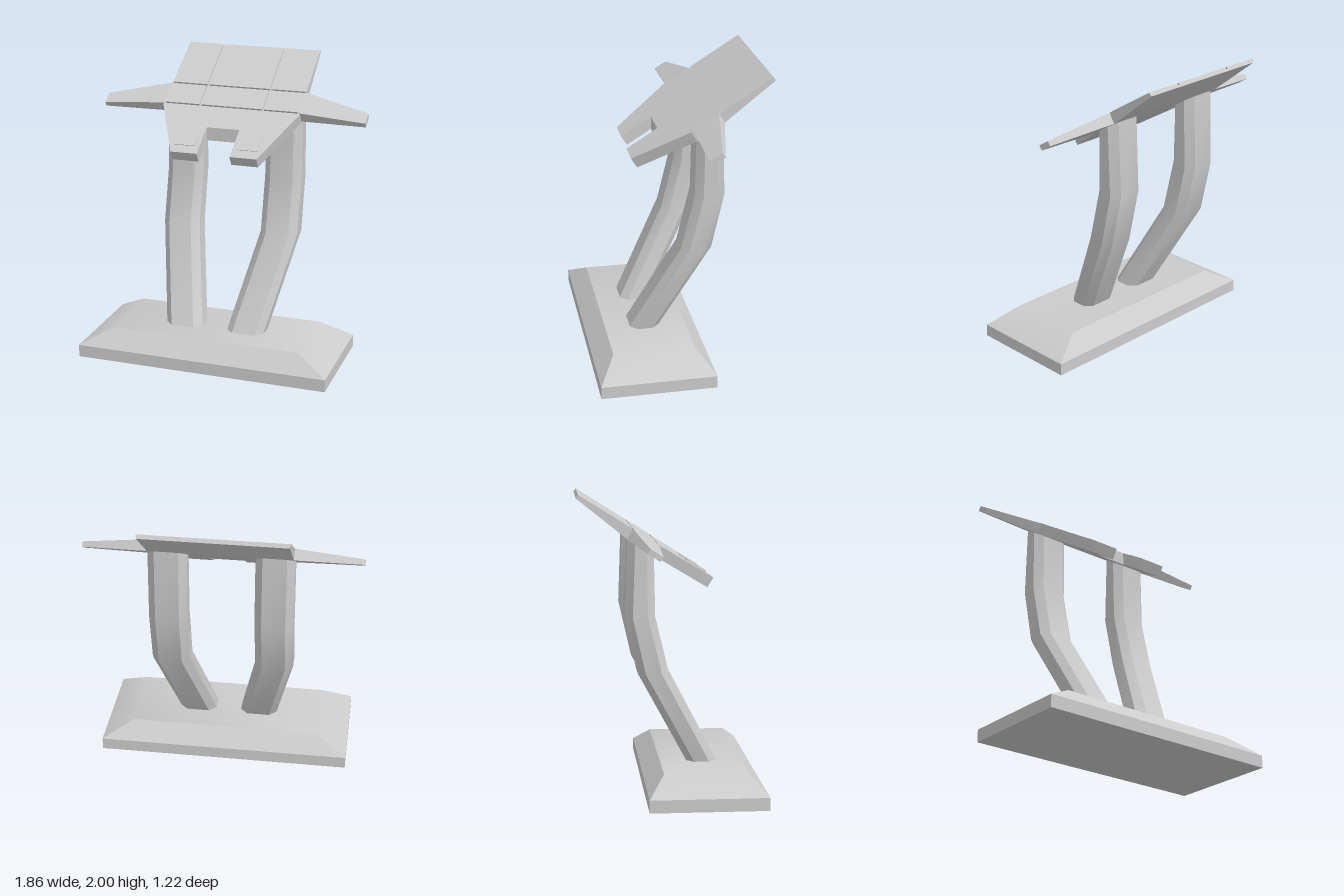
import * as THREE from 'three';
import { toCreasedNormals } from 'three/addons/utils/BufferGeometryUtils.js';
import { ConvexGeometry } from 'three/addons/geometries/ConvexGeometry.js';

const material = new THREE.MeshStandardMaterial({ color: 0xcccccc });

function add(parent, name, geometry, crease = 0.3) {
  const mesh = new THREE.Mesh(toCreasedNormals(geometry, crease), material);
  mesh.name = name;
  parent.add(mesh);
  return mesh;
}

const hull = (points) => new ConvexGeometry(points.map((p) => new THREE.Vector3(...p)));

// Rectangle in the xz plane at height y
const rect = (x, y, zBack, zFront) => [[-x, y, zBack], [x, y, zBack], [x, y, zFront], [-x, y, zFront]];

// Slab between x0..x1 and s0..s1 on the console plane, with a depth at each end
function slab(x0, x1, s0, s1, top, bottom0, bottom1) {
  const points = [];
  for (const x of [x0, x1]) {
    points.push([x, s0, top], [x, s1, top], [x, s0, bottom0], [x, s1, bottom1]);
  }
  return hull(points);
}

// Bent column with a chamfered rectangular section; stations are [y, x, z, half depth, tilt]
function column(stations) {
  const hx = 0.13, c = 0.05, n = 8;
  const positions = [], index = [];
  for (const [y, x, z, hz, tilt] of stations) {
    const ring = [
      [hx, hz - c], [hx, c - hz], [hx - c, -hz], [c - hx, -hz],
      [-hx, c - hz], [-hx, hz - c], [c - hx, hz], [hx - c, hz],
    ];
    for (const [dx, dz] of ring) positions.push(x + dx, y - tilt * dz, z + dz);
  }
  const last = (stations.length - 1) * n;
  for (let r = 0; r < last; r += n) {
    for (let i = 0; i < n; i++) {
      const a = r + i, b = r + ((i + 1) % n);
      index.push(a, b, b + n, a, b + n, a + n);
    }
  }
  for (let i = 1; i < n - 1; i++) {
    index.push(0, i + 1, i);
    index.push(last, last + i, last + i + 1);
  }
  const geometry = new THREE.BufferGeometry();
  geometry.setAttribute('position', new THREE.Float32BufferAttribute(positions, 3));
  geometry.setIndex(index);
  return geometry;
}

// Front plate outline with a notch between two prongs
function frontPlate() {
  const notch = -0.395, thickness = 0.076;
  const shape = new THREE.Shape([
    [-0.485, -0.201], [-0.485, -0.215], [-0.3, -0.64], [-0.115, -0.64], [-0.115, notch],
    [0.115, notch], [0.115, -0.64], [0.3, -0.64], [0.485, -0.215], [0.485, -0.201],
  ].map((p) => new THREE.Vector2(...p)));
  const geometry = new THREE.ExtrudeGeometry(shape, { depth: thickness, bevelEnabled: false });
  geometry.translate(0, 0, -thickness);
  // The back of the notch is cut upright
  const p = geometry.attributes.position;
  for (let i = 0; i < p.count; i++) {
    if (p.getZ(i) < -0.01 && Math.abs(p.getY(i) - notch) < 0.001) p.setY(i, notch - 0.048);
  }
  return geometry;
}

export function createModel() {
  const model = new THREE.Group();
  model.name = 'consoleStand';

  // Base with sloped shoulders
  add(model, 'base', hull([
    ...rect(0.875, 0, -0.17, 0.605),
    ...rect(0.875, 0.085, -0.17, 0.605),
    ...rect(0.66, 0.2, -0.06, 0.49),
  ]), 0.6);

  // Console surface: local y runs uphill, local z points out of the face
  const consoleTop = new THREE.Group();
  consoleTop.name = 'consoleTop';
  consoleTop.position.set(0, 1.78, -0.245);
  consoleTop.rotation.x = -THREE.MathUtils.degToRad(58);
  model.add(consoleTop);

  // Recessed backing, seen in the grooves between the tiles
  add(consoleTop, 'middleBacking', slab(-0.478, 0.478, -0.205, 0, -0.013, -0.076, -0.076));
  add(consoleTop, 'upperBacking', slab(-0.478, 0.478, 0, 0.415, -0.013, -0.076, -0.028));

  // Two rows of three tiles
  const g = 0.006;
  for (const [row, s0, s1] of [['middle', -0.195 + g, -g], ['upper', g, 0.415]]) {
    const columns = [['right', -0.482, -0.232], ['centre', -0.22, 0.22], ['left', 0.232, 0.482]];
    for (const [side, x0, x1] of columns) {
      add(consoleTop, `${row}Tile_${side}`, slab(x0, x1, s0, s1, 0, -0.015, -0.015));
    }
  }

  add(consoleTop, 'frontPlate', frontPlate());

  for (const side of [1, -1]) {
    const label = side > 0 ? 'left' : 'right';

    // Square pad on each prong
    const pad = new THREE.BoxGeometry(0.145, 0.14, 0.01);
    pad.translate(side * 0.2175, -0.503, -0.001);
    add(consoleTop, `${label}Pad`, pad);

    // Tapered side wing
    add(model, `${label}Wing`, hull([
      [0.475, 1.78, -0.245], [0.475, 1.675, -0.078], [0.475, 1.715, -0.285], [0.475, 1.61, -0.118],
      [0.932, 1.69, -0.165], [0.932, 1.64, -0.085], [0.932, 1.66, -0.184], [0.932, 1.61, -0.104],
    ].map(([x, y, z]) => [side * x, y, z])));

    // Bent leg
    add(model, `${label}Leg`, column([
      [0.19, side * 0.218, 0.225, 0.1, 0],
      [0.825, side * 0.355, -0.112, 0.103, 0],
      [1.2, side * 0.355, -0.2, 0.1, 0],
      [1.7, side * 0.355, -0.195, 0.086, 0.626],
    ]), 0.6);
  }

  return model;
}
